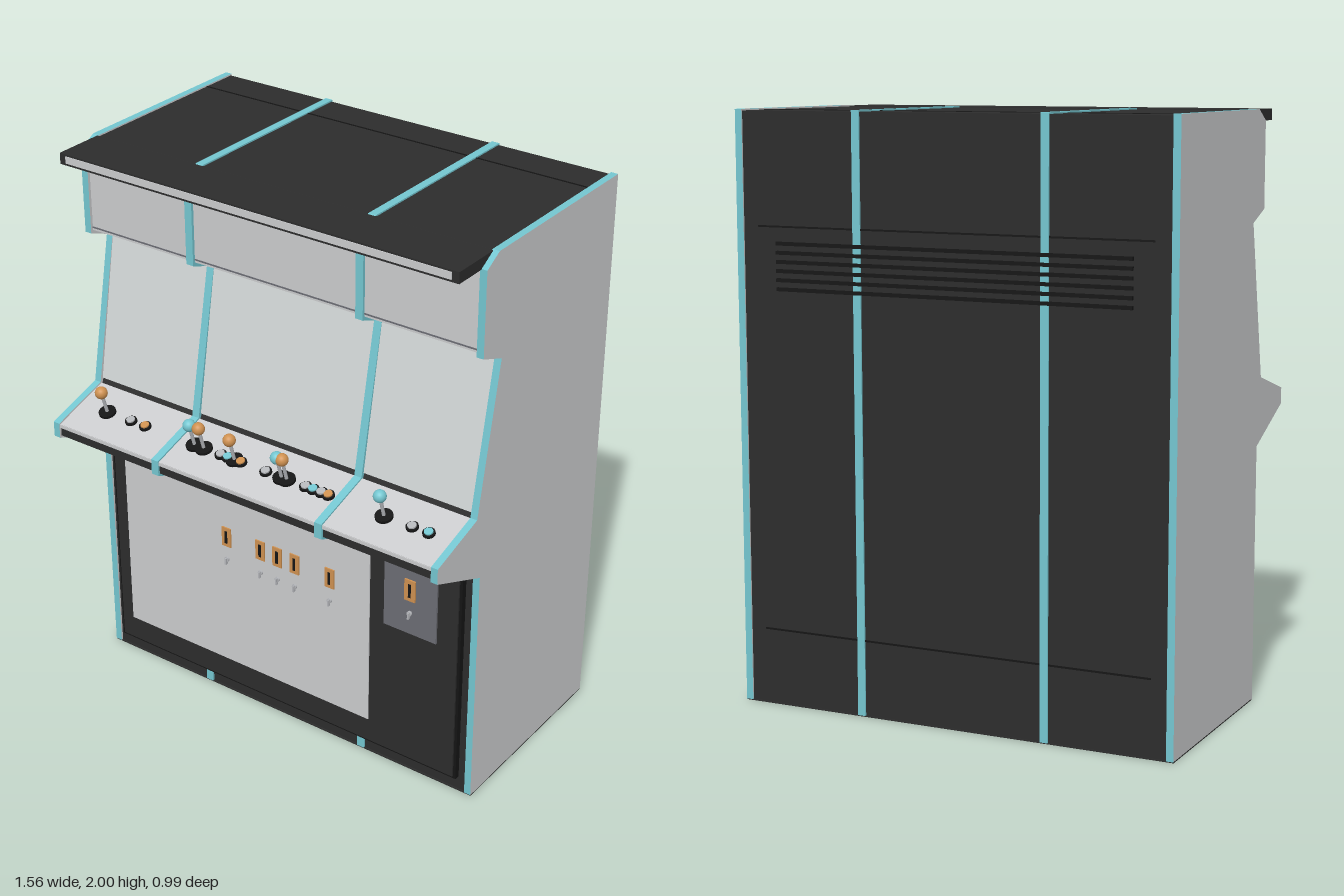
import * as THREE from 'three';

const mat = (name, color, extra = {}) => {
  const m = new THREE.MeshStandardMaterial({ color, ...extra });
  m.name = name;
  return m;
};

export function createModel() {
  const light = mat('lightGrey', 0xcbccce);
  const glass = mat('screenGrey', 0xd2d6d6);
  const dark = mat('charcoal', 0x2c2c2c);
  const black = mat('black', 0x151515);
  const teal = mat('teal', 0x74c6d0);
  const orange = mat('orange', 0xcf9150);
  const steel = mat('steelGrey', 0x6c6d74);
  const silver = mat('silver', 0xb4b6ba);

  const root = new THREE.Group();
  root.name = 'arcadeCabinet';

  const add = (name, geo, material, parent = root) => {
    const m = new THREE.Mesh(geo, material);
    m.name = name;
    parent.add(m);
    return m;
  };
  // box given by its limits
  const box = (name, x0, x1, y0, y1, z0, z1, material, parent) => {
    const m = add(name, new THREE.BoxGeometry(x1 - x0, y1 - y0, z1 - z0), material, parent);
    m.position.set((x0 + x1) / 2, (y0 + y1) / 2, (z0 + z1) / 2);
    return m;
  };
  // side profile (z, y) extruded across x
  const slab = (name, pts, x0, x1, material) => {
    const shape = new THREE.Shape(pts.map(([z, y]) => new THREE.Vector2(z, y)));
    const geo = new THREE.ExtrudeGeometry(shape, { depth: x1 - x0, bevelEnabled: false });
    geo.rotateY(-Math.PI / 2).translate(x1, 0, 0);
    return add(name, geo, material);
  };
  // thin plate running between two (z, y) points
  const plate = (name, a, b, x0, x1, material, t = 0.006) => {
    const dz = b[0] - a[0], dy = b[1] - a[1];
    const m = add(name, new THREE.BoxGeometry(x1 - x0, Math.hypot(dz, dy), t), material);
    m.position.set((x0 + x1) / 2, (a[1] + b[1]) / 2, (a[0] + b[0]) / 2);
    m.rotation.x = Math.atan2(dz, dy);
    return m;
  };

  // side panels and the two dividers, with teal edges
  const outline = [[-0.49, 0.003], [0.247, 0.003], [0.247, 0.88], [0.497, 0.99], [0.497, 1.045],
    [0.278, 1.11], [0.175, 1.632], [0.28, 1.672], [0.28, 1.962], [0.215, 2], [-0.49, 2]];
  slab('rightSidePanel', outline, -0.78, -0.755, [light, teal]);
  slab('leftSidePanel', outline, 0.755, 0.78, [light, teal]);
  for (const x of [-0.335, 0.33]) slab('divider', outline, x - 0.014, x + 0.014, teal);

  // dark body between the side panels
  const body = [[-0.485, 0.002], [0.24, 0.002], [0.24, 0.888], [0.489, 0.996], [0.489, 1.036],
    [0.27, 1.102], [0.262, 1.12], [0.165, 1.645], [0.265, 1.68], [0.265, 1.955], [0.21, 1.995], [-0.485, 1.995]];
  slab('body', body, -0.756, 0.756, dark);
  box('base', -0.78, 0.78, 0, 0.004, -0.489, 0.246, dark);

  // marquee, screens and control panel
  plate('marquee', [0.267, 1.682], [0.267, 1.955], -0.755, 0.755, light);
  plate('marqueeLowerLine', [0.271, 1.69], [0.271, 1.695], -0.755, 0.755, steel, 0.002);
  plate('marqueeUpperTrim', [0.274, 1.954], [0.274, 1.962], -0.755, 0.755, teal, 0.012);
  plate('screen', [0.263, 1.122], [0.168, 1.645], -0.755, 0.755, glass);
  plate('controlTop', [0.272, 1.103], [0.491, 1.038], -0.755, 0.755, light);
  plate('controlLip', [0.491, 1.028], [0.491, 1.04], -0.755, 0.755, light);

  // canopy with a light front strip
  box('canopy', -0.76, 0.76, 1.96, 1.998, 0.216, 0.4, dark);
  box('canopyLight', -0.735, 0.735, 1.968, 1.992, 0.396, 0.403, light);

  // front door and metal panel
  box('frontDoorEdge', -0.73, 0.727, 0.055, 0.885, 0.24, 0.26, black);
  box('frontDoor', -0.72, 0.717, 0.065, 0.884, 0.25, 0.266, dark);
  box('frontPanel', -0.67, 0.375, 0.155, 0.886, 0.262, 0.27, light);
  box('coinPlate', 0.435, 0.64, 0.58, 0.83, 0.262, 0.273, steel);

  // coin slots, each with a small key below
  const coinSlot = (x, y, z, w, h) => {
    const g = new THREE.Group();
    g.name = 'coinSlot';
    g.position.set(x, y, z);
    root.add(g);
    box('slotPlate', -w / 2, w / 2, -h / 2, h / 2, 0, 0.006, orange, g);
    box('slotOpening', -0.005, 0.005, -h * 0.32, h * 0.32, 0, 0.008, black, g);
    const lock = add('lock', new THREE.CylinderGeometry(0.009, 0.009, 0.008, 12), silver, g);
    lock.rotation.x = Math.PI / 2;
    lock.position.set(0, -0.09, 0.004);
    box('key', -0.003, 0.003, -0.108, -0.084, 0.004, 0.014, silver, g);
  };
  for (const x of [-0.22, -0.075, -0.003, 0.07, 0.215]) coinSlot(x, 0.672, 0.269, 0.038, 0.075);
  coinSlot(0.538, 0.752, 0.273, 0.042, 0.08);

  // controls stand square to the sloping panel
  const controls = new THREE.Group();
  controls.name = 'controls';
  controls.position.set(0, 1.074, 0.382);
  controls.rotation.x = Math.atan2(0.065, 0.219);
  root.add(controls);
  const disc = (name, x, z, r, y0, y1, material) => {
    const m = add(name, new THREE.CylinderGeometry(r, r, y1 - y0, 20), material, controls);
    m.position.set(x, (y0 + y1) / 2, z);
  };
  const sticks = [[-0.635, orange], [-0.255, teal], [-0.216, orange], [-0.088, orange],
    [0.104, teal], [0.125, orange], [0.504, teal]];
  for (const [x, m] of sticks) {
    disc('stickBase', x, 0, 0.03, 0, 0.01, black);
    disc('stickShaft', x, 0, 0.006, 0, 0.085, silver);
    add('stickBall', new THREE.SphereGeometry(0.022, 20, 14), m, controls).position.set(x, 0.094, 0);
  }
  const buttons = [[-0.53, silver], [-0.468, orange], [-0.145, silver], [-0.115, teal], [-0.062, orange],
    [0.04, silver], [0.2, silver], [0.23, teal], [0.262, silver], [0.29, orange], [0.61, silver], [0.672, teal]];
  for (const [x, m] of buttons) {
    disc('buttonRing', x, 0, 0.021, 0, 0.009, black);
    disc('buttonCap', x, 0, 0.015, 0, 0.014, m);
  }

  // back door seams, vents and roof seam
  for (const y of [0.26, 1.62]) box('backSeam', -0.7, 0.7, y - 0.003, y + 0.003, -0.4875, -0.48, black);
  for (let i = 0; i < 6; i++) {
    const y = 1.415 + i * 0.03;
    box('ventSlat', -0.63, 0.63, y - 0.006, y + 0.006, -0.495, -0.48, black);
  }
  box('roofSeam', -0.755, 0.755, 1.99, 1.997, -0.352, -0.347, black);

  return root;
}
